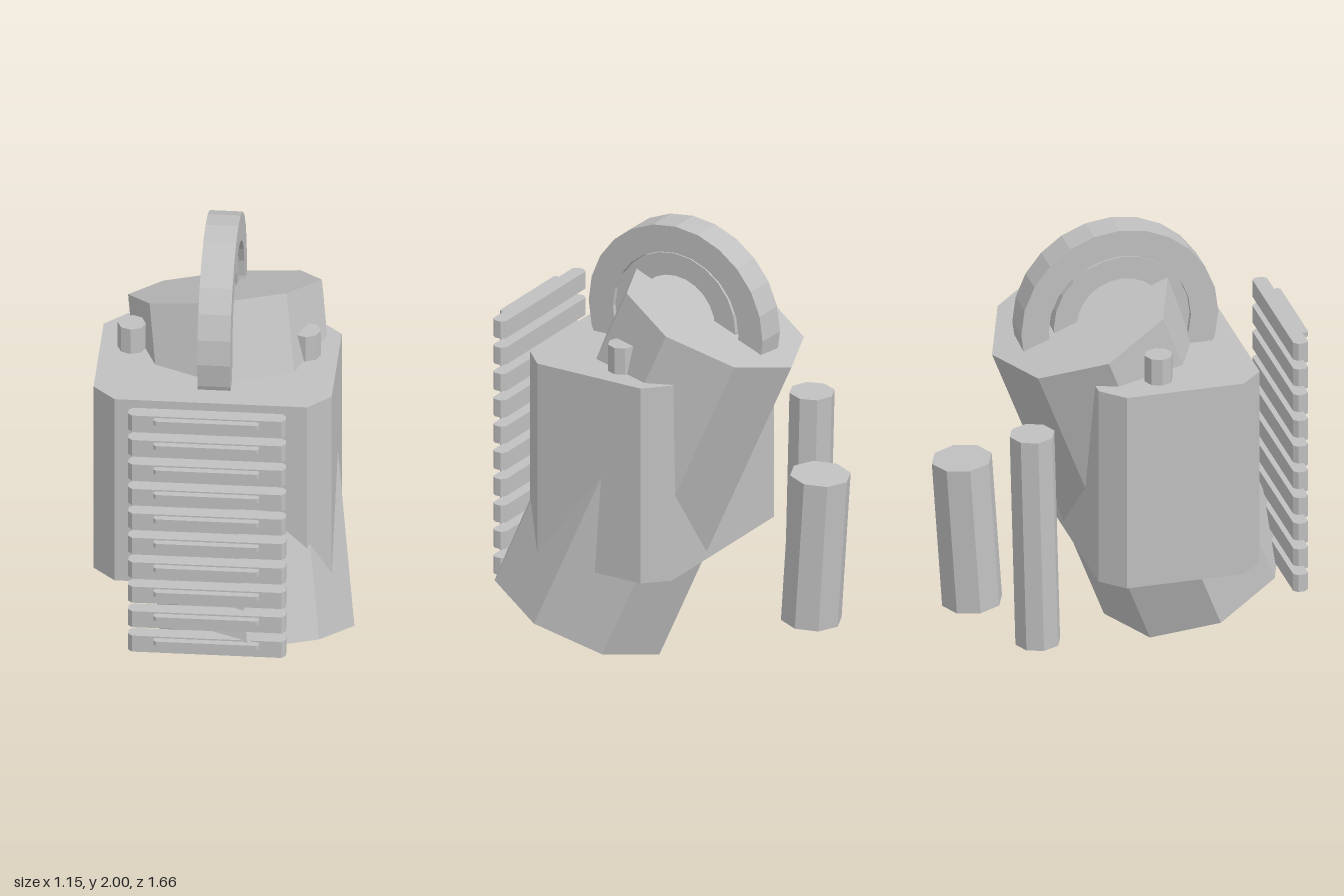
import * as THREE from 'three';

const gray = new THREE.MeshStandardMaterial({ color: 0xc0c0c0, flatShading: true });
gray.name = 'light gray';

function add(parent, name, geometry, x = 0, y = 0, z = 0) {
  const mesh = new THREE.Mesh(geometry, gray);
  mesh.name = name;
  mesh.position.set(x, y, z);
  parent.add(mesh);
  return mesh;
}

// Upright block with chamfered vertical corners, centred on its origin
function chamferedBlock(w, h, d, c) {
  const x = w / 2, z = d / 2;
  const shape = new THREE.Shape([
    [x - c, -z], [x, -z + c], [x, z - c], [x - c, z],
    [c - x, z], [-x, z - c], [-x, c - z], [c - x, -z],
  ].map(([a, b]) => new THREE.Vector2(a, b)));
  return new THREE.ExtrudeGeometry(shape, { depth: h, bevelEnabled: false })
    .translate(0, 0, -h / 2).rotateX(-Math.PI / 2);
}

// Flat-sided ring standing in the y-z plane
function ring(outer, inner, width) {
  const shape = new THREE.Shape().absarc(0, 0, outer, 0, Math.PI * 2, false);
  shape.holes.push(new THREE.Path().absarc(0, 0, inner, 0, Math.PI * 2, true));
  return new THREE.ExtrudeGeometry(shape, { depth: width, bevelEnabled: false, curveSegments: 12 })
    .translate(0, 0, -width / 2).rotateY(Math.PI / 2);
}

// Eight-sided rod between two points
function rod(parent, name, from, to, radius) {
  const a = new THREE.Vector3(...from), b = new THREE.Vector3(...to);
  const axis = b.clone().sub(a);
  const mesh = add(parent, name, new THREE.CylinderGeometry(radius, radius, axis.length(), 8));
  mesh.position.copy(a).add(b).multiplyScalar(0.5);
  mesh.quaternion.setFromUnitVectors(new THREE.Vector3(0, 1, 0), axis.normalize());
}

export function createModel() {
  const model = new THREE.Group();
  model.name = 'lantern';

  // Housing and the leaning drum that passes through it
  add(model, 'housing', chamferedBlock(1.05, 0.93, 0.735, 0.1), -0.055, 0.945, 0.18);
  rod(model, 'leaningDrum', [0.14, 0.16, 0.415], [-0.05, 1.588, -0.15], 0.43);

  // Carrying handle with an inner ring
  add(model, 'handle', ring(0.45, 0.325, 0.145), -0.05, 1.55, 0.01);
  add(model, 'handleInnerRing', ring(0.31, 0.205, 0.1), -0.05, 1.55, 0.025);

  // Side posts running through the housing
  for (const x of [-0.44, 0.33]) {
    rod(model, 'sidePost', [x, 0.455, 0.097], [x, 1.535, 0.097], 0.063);
  }

  // Rods at the back
  rod(model, 'shortBackRod', [-0.053, 0.25, -0.645], [-0.053, 0.95, -0.692], 0.137);
  rod(model, 'longBackRod', [-0.36, 0.165, -0.432], [-0.36, 1.182, -0.458], 0.102);

  // Front grille of slats, each with a thin ridge
  const grille = new THREE.Group();
  grille.name = 'frontGrille';
  model.add(grille);
  const slat = chamferedBlock(0.695, 0.082, 0.067, 0.018);
  const ridge = chamferedBlock(0.465, 0.022, 0.034, 0.01);
  for (let i = 0; i < 10; i++) {
    const top = 1.48 - i * 0.1255;
    add(grille, 'slat', slat, -0.053, top - 0.041, 0.762);
    add(grille, 'slatRidge', ridge, -0.053, top - 0.018, 0.81);
  }
  return model;
}
